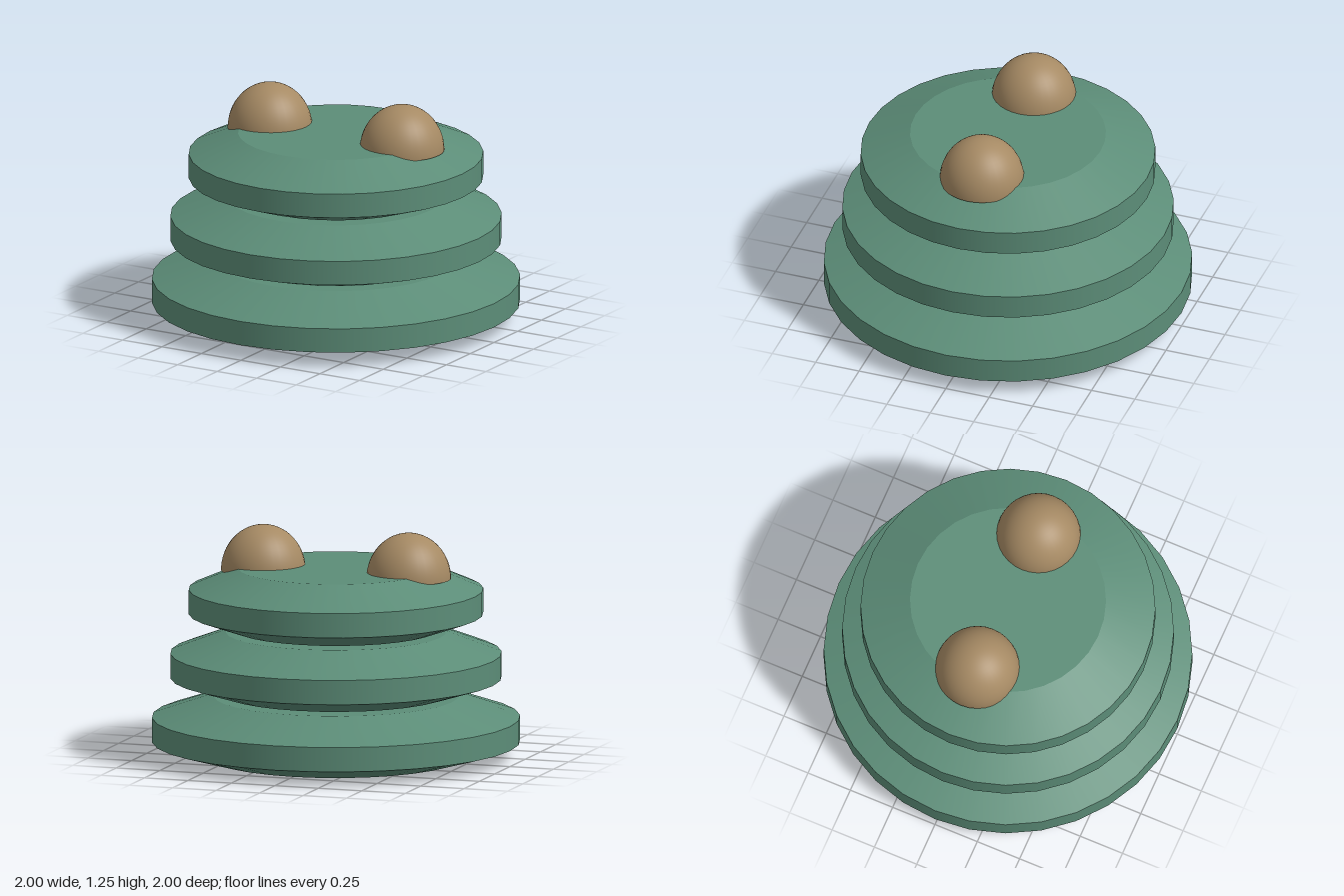
import * as THREE from 'three';
import { mergeGeometries } from 'three/addons/utils/BufferGeometryUtils.js';

const SEGMENTS = 32;

// Bevelled disc: a stack of frustums, so each band is smooth and the rims stay sharp.
function bevelledDisc(profile) {
  const last = profile.length - 1;
  const bands = [];
  for (let i = 0; i < last; i++) {
    const [r0, y0] = profile[i];
    const [r1, y1] = profile[i + 1];
    bands.push(new THREE.CylinderGeometry(r1, r0, y1 - y0, SEGMENTS, 1, true).translate(0, (y0 + y1) / 2, 0));
  }
  const [rBottom, yBottom] = profile[0];
  const [rTop, yTop] = profile[last];
  bands.push(new THREE.CircleGeometry(rBottom, SEGMENTS).rotateX(Math.PI / 2).translate(0, yBottom, 0));
  bands.push(new THREE.CircleGeometry(rTop, SEGMENTS).rotateX(-Math.PI / 2).translate(0, yTop, 0));
  return mergeGeometries(bands);
}

export function createModel() {
  const group = new THREE.Group();
  const green = new THREE.MeshStandardMaterial({ color: 0x5c8d78 });
  green.name = 'sage green';
  const brown = new THREE.MeshStandardMaterial({ color: 0xa68a64 });
  brown.name = 'tan brown';

  // Three separate discs, shrinking upwards with thin gaps between them
  const tiers = [
    ['bottomTier', 1.0, 0],
    ['middleTier', 0.9, 0.352],
    ['topTier', 0.8, 0.703],
  ];
  for (const [name, r, y] of tiers) {
    const disc = new THREE.Mesh(
      bevelledDisc([[r * 0.7, y], [r, y + 0.085], [r, y + 0.219], [r * 0.665, y + 0.334]]),
      green
    );
    disc.name = name;
    group.add(disc);
  }

  // Domes on the top tier, closed underneath
  for (const side of [1, -1]) {
    const dome = mergeGeometries([
      new THREE.SphereGeometry(0.23, 32, 16, 0, Math.PI * 2, 0, Math.PI / 2).scale(1, 0.25 / 0.23, 1),
      new THREE.CircleGeometry(0.23, 32).rotateX(Math.PI / 2),
    ]);
    const mesh = new THREE.Mesh(dome, brown);
    mesh.name = side > 0 ? 'leftDome' : 'rightDome';
    mesh.position.set(side * 0.418, 1.002, 0);
    group.add(mesh);
  }
  return group;
}
